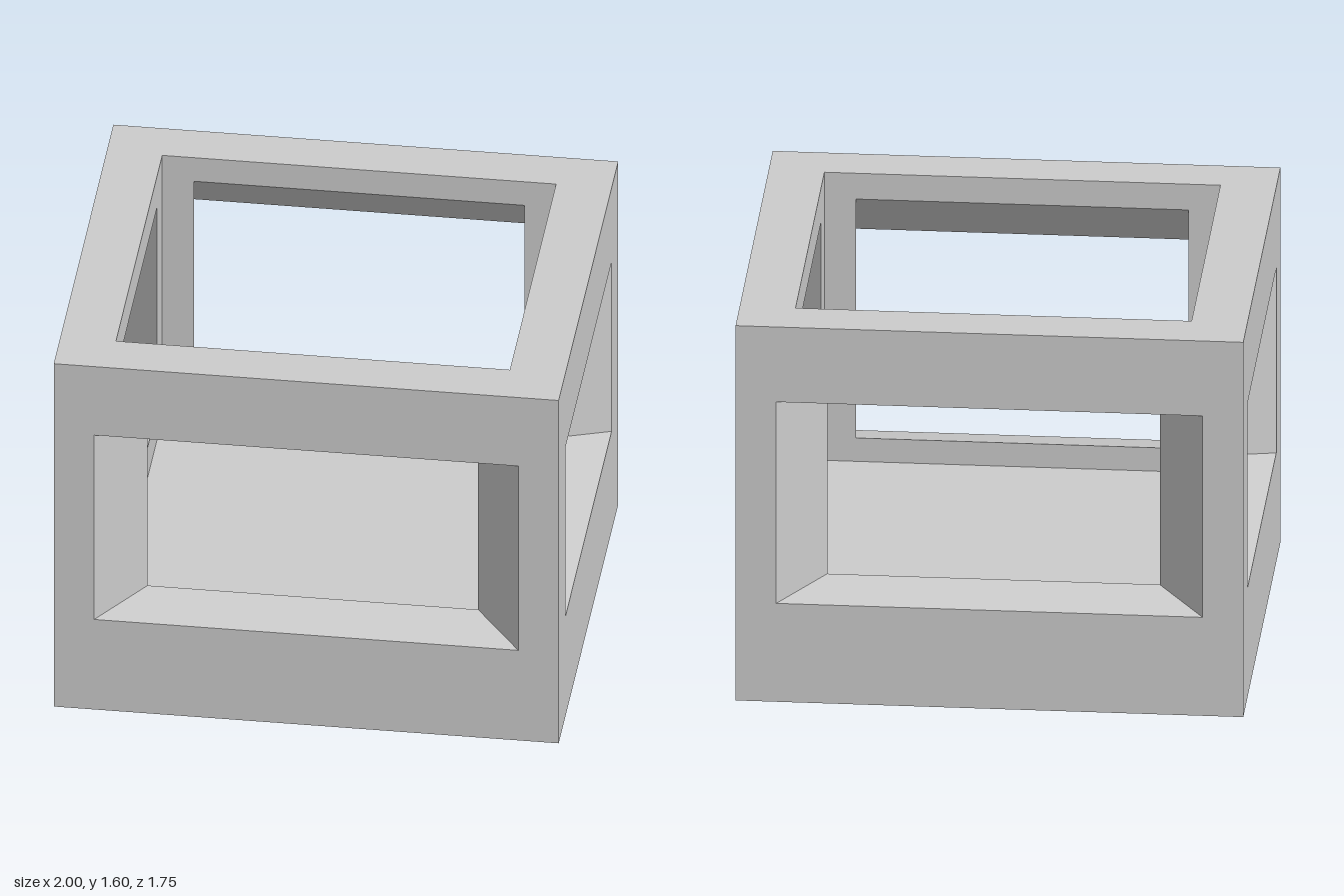
import * as THREE from 'three';

const W = 1, D = 0.875, H = 1.6;            // outer half width, half depth, height
const CW = 0.78, CD = 0.68, FLOOR = 0.37;   // cavity half width, half depth, floor height

// Rectangle ring facing +z: half width u, from v0 to v1, at depth z
const ring = (u, v0, v1, z) => [[-u, v0, z], [u, v0, z], [u, v1, z], [-u, v1, z]];

// Flat-shaded skin joining consecutive rings
function skin(rings) {
  const pos = [];
  for (let r = 0; r < rings.length - 1; r++) {
    for (let i = 0; i < 4; i++) {
      const j = (i + 1) % 4, a = rings[r], b = rings[r + 1];
      for (const p of [a[i], a[j], b[j], a[i], b[j], b[i]]) pos.push(...p);
    }
  }
  const g = new THREE.BufferGeometry();
  g.setAttribute('position', new THREE.Float32BufferAttribute(pos, 3));
  g.computeVertexNormals();
  return g;
}

export function createModel() {
  const group = new THREE.Group();
  const mat = new THREE.MeshStandardMaterial({ color: 0xcccccc, flatShading: true });
  const add = (name, geo) => {
    const mesh = new THREE.Mesh(geo, mat);
    mesh.name = name;
    group.add(mesh);
    return mesh;
  };

  // Walls: outer face, splayed window reveal, then inner face
  const longWall = skin([
    ring(W, 0, H, D), ring(0.84, 0.42, 1.28, D),
    ring(0.655, 0.47, 1.49, CD), ring(CW, FLOOR, H, CD),
  ]);
  const sideWall = skin([
    ring(D, 0, H, W), ring(0.68, 0.465, 1.255, W),
    ring(0.53, 0.51, 1.455, CW), ring(CD, FLOOR, H, CW),
  ]);
  ['frontWall', 'leftWall', 'backWall', 'rightWall'].forEach((name, i) => {
    add(name, i % 2 ? sideWall : longWall).rotation.y = i * Math.PI / 2;
  });

  // Flat rim around the open top
  add('topRim', skin([ring(W, -D, D, H), ring(CW, -CD, CD, H)])).rotation.x = -Math.PI / 2;

  // Cavity floor and closed underside
  const floor = add('floor', new THREE.PlaneGeometry(2 * CW, 2 * CD));
  floor.rotation.x = -Math.PI / 2;
  floor.position.y = FLOOR;
  add('underside', new THREE.PlaneGeometry(2 * W, 2 * D)).rotation.x = Math.PI / 2;

  return group;
}
